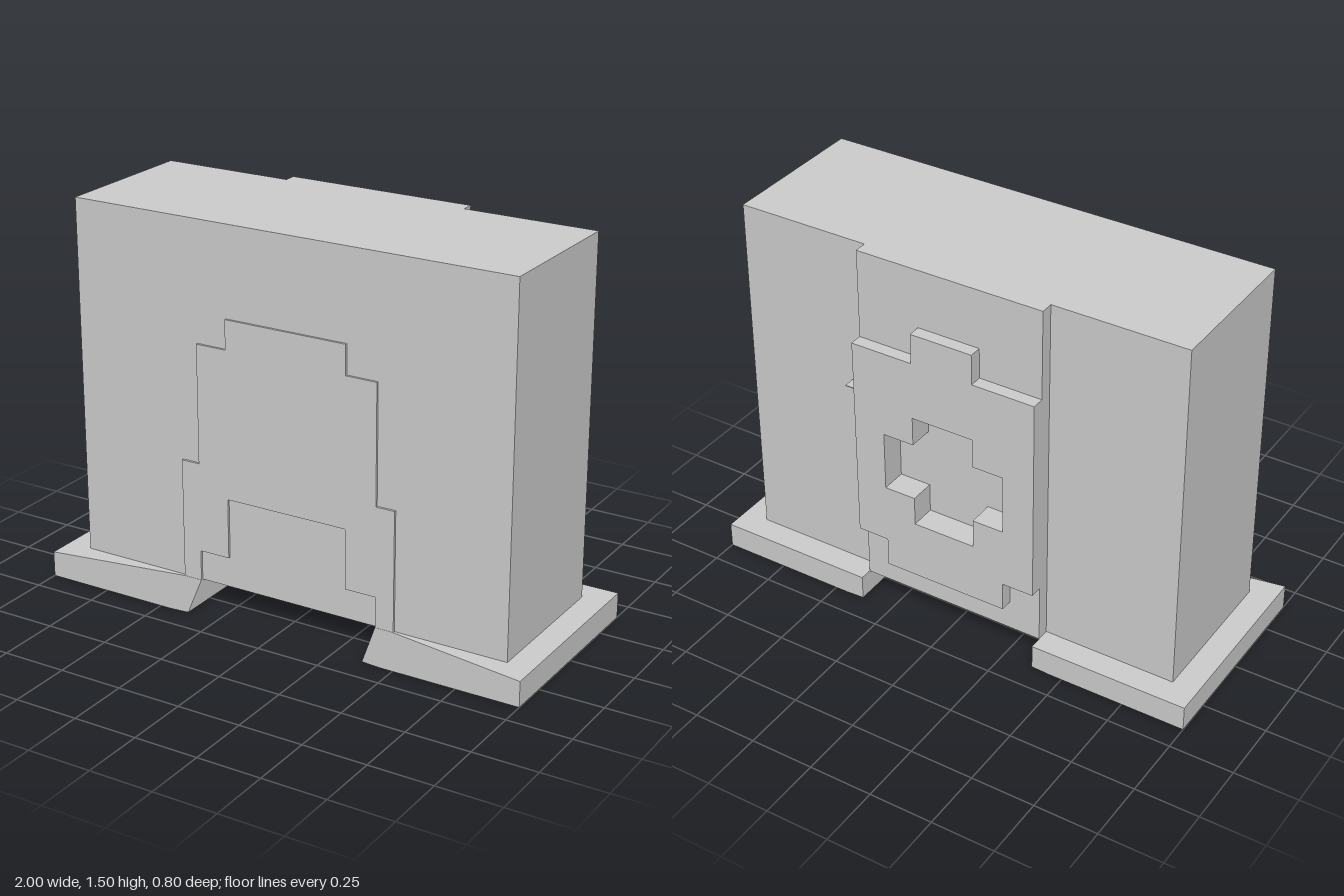
import * as THREE from 'three';

const grey = new THREE.MeshStandardMaterial({ color: 0xcccccc });

// Closed outline from the right half of a profile, mirrored in x
function mirrored(half, Type = THREE.Shape) {
  const pts = half.map(([x, y]) => new THREE.Vector2(x, y));
  const left = half.slice().reverse().map(([x, y]) => new THREE.Vector2(-x, y));
  return new Type([...pts, ...left]);
}

function slab(shape, z0, z1) {
  const geo = new THREE.ExtrudeGeometry(shape, { depth: z1 - z0, bevelEnabled: false });
  return geo.translate(0, 0, z0);
}

function box(x0, x1, y0, y1, z0, z1) {
  return new THREE.BoxGeometry(x1 - x0, y1 - y0, z1 - z0)
    .translate((x0 + x1) / 2, (y0 + y1) / 2, (z0 + z1) / 2);
}

// Foot slab whose front edge is drawn back to the wall on its inner side
function footGeometry(side) {
  const geo = new THREE.BoxGeometry(0.625, 0.1, 0.8, 2, 1, 1);
  geo.translate(side * 0.6875, 0.05, 0);
  const p = geo.attributes.position;
  for (let i = 0; i < p.count; i++) {
    const ax = Math.abs(p.getX(i));
    if (ax > 0.9) continue;
    if (ax > 0.4) p.setX(i, side * 0.45);
    if (p.getY(i) > 0.05 && p.getZ(i) > 0) p.setZ(i, 0.31);
    if (ax < 0.4 && p.getY(i) < 0.05) p.setY(i, 0.004);
  }
  return geo;
}

export function createModel() {
  const group = new THREE.Group();
  const add = (name, geo) => {
    const mesh = new THREE.Mesh(geo, grey);
    mesh.name = name;
    group.add(mesh);
  };

  // Main block
  add('body', box(-0.9, 0.9, 0.1, 1.5, -0.3, 0.3));

  // Feet
  add('leftFoot', footGeometry(1));
  add('rightFoot', footGeometry(-1));

  // Thin stepped arch on the front
  add('frontArch', slab(mirrored([
    [0.25, 0.455], [0.25, 0.22], [0.375, 0.22], [0.375, 0.1], [0.45, 0.1],
    [0.45, 0.57], [0.375, 0.57], [0.375, 1.035], [0.25, 1.035], [0.25, 1.15],
  ]), 0.3, 0.309));

  // Cross-shaped recess shared by the two back layers
  const cross = () => mirrored([
    [0.125, 0.455], [0.125, 0.57], [0.25, 0.57],
    [0.25, 0.805], [0.125, 0.805], [0.125, 0.92],
  ], THREE.Path);

  // Full-height back panel
  const panel = mirrored([[0.375, 0.1], [0.375, 1.5]]);
  panel.holes.push(cross());
  add('backPanel', slab(panel, -0.35, -0.3));

  // Raised stepped plate
  const plate = mirrored([
    [0.25, 0.22], [0.25, 0.335], [0.375, 0.335],
    [0.375, 1.15], [0.125, 1.15], [0.125, 1.27],
  ]);
  plate.holes.push(cross());
  add('backPlate', slab(plate, -0.4, -0.35));

  // Small ledge beside the back panel
  add('backLedge', box(0.4, 0.445, 0.918, 0.921, -0.353, -0.3));

  return group;
}
